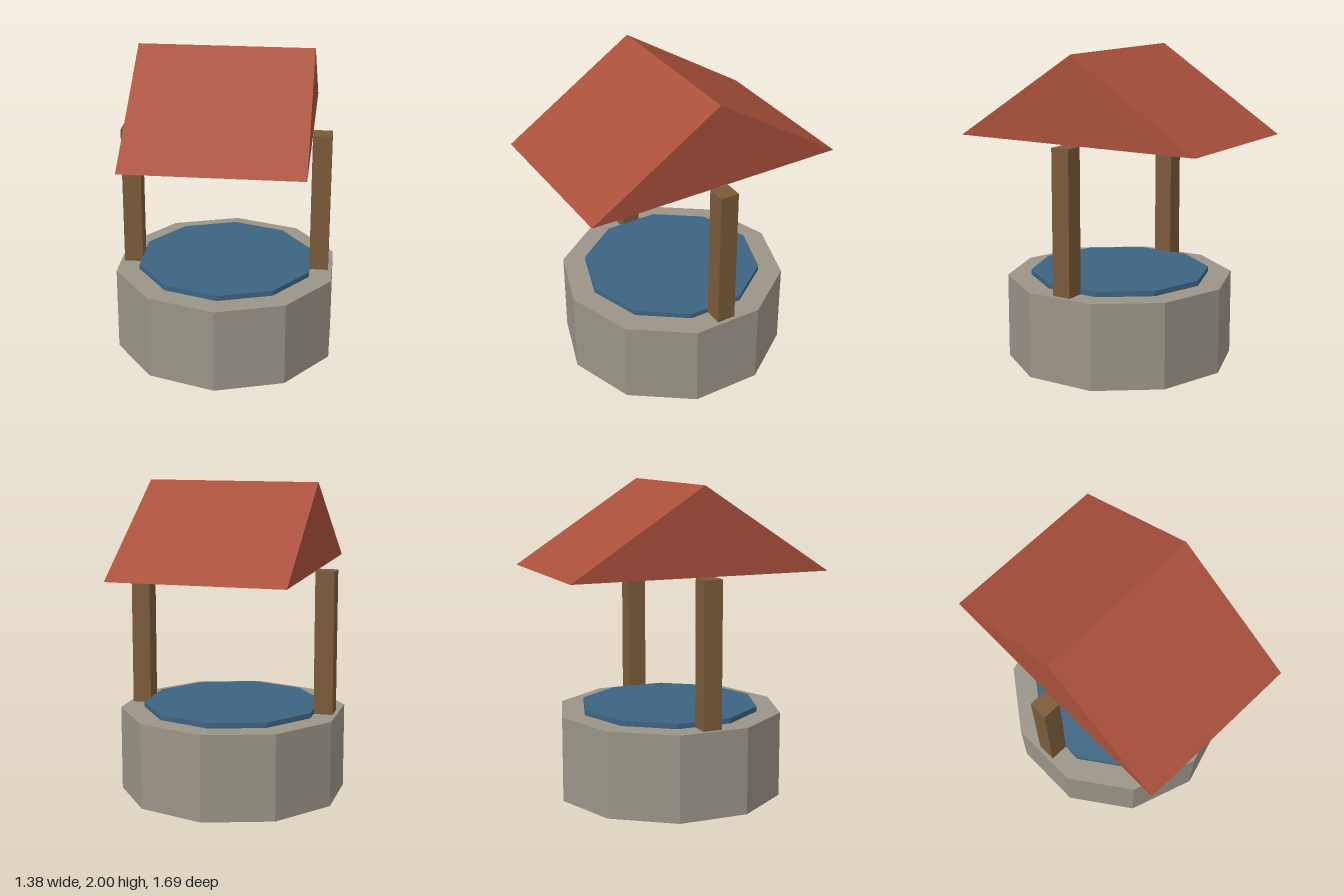
import * as THREE from 'three';

const flat = (name, color) => {
  const m = new THREE.MeshStandardMaterial({ color, flatShading: true });
  m.name = name;
  return m;
};

export function createModel() {
  const stone = flat('stone', 0x9a9488);
  const wood = flat('wood', 0x7a5a39);
  const tile = flat('roof red', 0xa84f3a);
  const blue = flat('water blue', 0x3c6480);

  const well = new THREE.Group();
  well.name = 'well';
  const add = (name, geometry, material, x = 0, y = 0, z = 0) => {
    const mesh = new THREE.Mesh(geometry, material);
    mesh.name = name;
    mesh.position.set(x, y, z);
    well.add(mesh);
  };

  // Ten-sided stone base and the water disc standing just above it
  const baseHeight = 0.545;
  add('stoneBase', new THREE.CylinderGeometry(0.727, 0.727, baseHeight, 10), stone, 0, baseHeight / 2);
  add('water', new THREE.CylinderGeometry(0.576, 0.576, 0.073, 10), blue, 0, 0.542);

  // Two posts running from the ground to the eaves
  const eaves = 1.456;
  for (const [name, side] of [['leftPost', 1], ['rightPost', -1]]) {
    add(name, new THREE.BoxGeometry(0.121, eaves, 0.121), wood, side * 0.606, eaves / 2);
  }

  // Solid gable roof with its ridge along x
  const gable = new THREE.Shape([
    new THREE.Vector2(-0.843, eaves),
    new THREE.Vector2(0.843, eaves),
    new THREE.Vector2(0, 2),
  ]);
  const roofWidth = 1.09;
  const roof = new THREE.ExtrudeGeometry(gable, { depth: roofWidth, bevelEnabled: false });
  roof.translate(0, 0, -roofWidth / 2).rotateY(Math.PI / 2);
  add('roof', roof, tile);

  return well;
}
